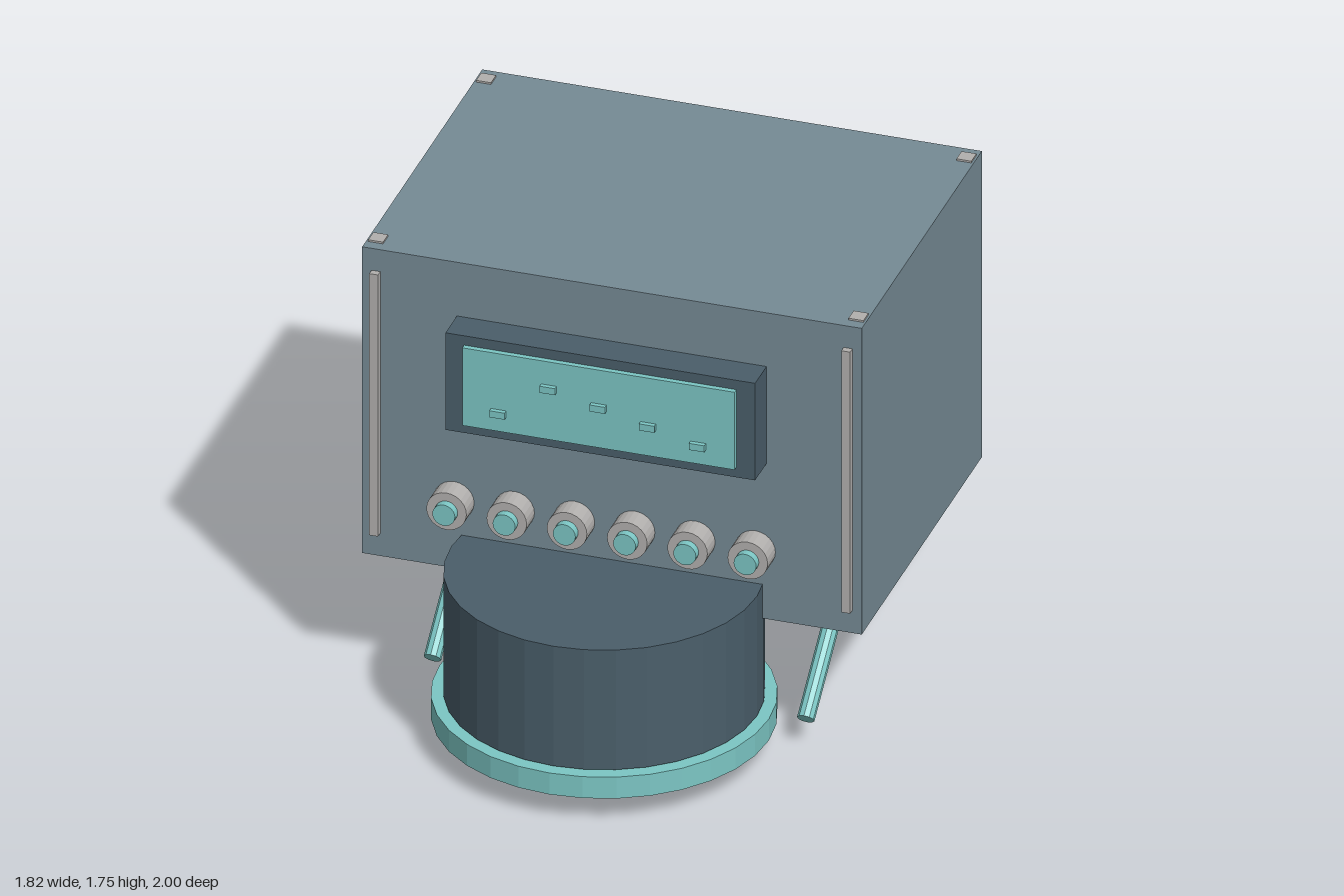
import * as THREE from 'three';

const mat = (name, color) => {
  const m = new THREE.MeshStandardMaterial({ color });
  m.name = name;
  return m;
};

export function createModel() {
  const model = new THREE.Group();
  model.name = 'controlUnit';
  const body = mat('slate grey', 0x768b95);
  const dark = mat('dark slate', 0x4a5e6a);
  const teal = mat('teal', 0x7cc6c4);
  const metal = mat('light grey', 0xb2b0ae);
  const glass = mat('lens blue', 0x7fa9bd);
  const tealSheet = mat('teal sheet', 0x7cc6c4);
  tealSheet.side = THREE.DoubleSide;
  for (const m of [body, dark, teal, metal, glass, tealSheet]) m.flatShading = true;

  const add = (name, geometry, material, x = 0, y = 0, z = 0) => {
    const mesh = new THREE.Mesh(geometry, material);
    mesh.name = name;
    mesh.position.set(x, y, z);
    model.add(mesh);
    return mesh;
  };
  // Box given by its lower and upper corners
  const block = (name, material, [x0, y0, z0], [x1, y1, z1]) =>
    add(name, new THREE.BoxGeometry(x1 - x0, y1 - y0, z1 - z0), material,
      (x0 + x1) / 2, (y0 + y1) / 2, (z0 + z1) / 2);
  // Upright cylinder from y0 to y1
  const disc = (name, material, r, y0, y1, z) =>
    add(name, new THREE.CylinderGeometry(r, r, y1 - y0, 32), material, 0, (y0 + y1) / 2, z);
  // Cylinder pointing forwards from z0 to z1
  const button = (name, material, r, x, y, z0, z1) => {
    const mesh = add(name, new THREE.CylinderGeometry(r, r, z1 - z0, 24), material, x, y, (z0 + z1) / 2);
    mesh.rotation.x = Math.PI / 2;
  };

  // Housing with trim strips and corner pads
  block('housing', body, [-0.91, 0.53, -1], [0.91, 1.745, 0.315]);
  for (const s of [-1, 1]) {
    const x = s * 0.86;
    block('trimStrip', metal, [x - 0.016, 0.62, 0.31], [x + 0.016, 1.658, 0.34]);
    for (const z of [-0.937, 0.245]) {
      block('cornerPad', metal, [s * 0.875 - 0.027, 1.74, z - 0.028], [s * 0.875 + 0.027, 1.752, z + 0.028]);
    }
  }

  // Display with small level markers
  block('displayFrame', dark, [-0.565, 1.147, 0.31], [0.563, 1.532, 0.44]);
  block('displayScreen', teal, [-0.497, 1.187, 0.43], [0.495, 1.495, 0.46]);
  const markers = [[-0.365, 1.26], [-0.182, 1.39], [0, 1.348], [0.18, 1.305], [0.362, 1.26]];
  for (const [x, y] of markers) {
    block('displayMarker', teal, [x - 0.028, y - 0.013, 0.45], [x + 0.028, y + 0.013, 0.477]);
  }

  // Row of knobs
  for (let i = 0; i < 6; i++) {
    const x = -0.575 + i * 0.2195;
    button('knobBase', metal, 0.073, x, 0.8, 0.31, 0.4);
    button('knobCap', teal, 0.041, x, 0.8, 0.39, 0.43);
  }

  // Drum, hollow rim open underneath, and the lower lens
  disc('drum', dark, 0.557, 0.19, 0.665, 0.4);
  const rimProfile = [[0.6, 0.1], [0.6, 0.185], [0.36, 0.185], [0.36, 0.1]]
    .map(([r, y]) => new THREE.Vector2(r, y));
  add('drumRim', new THREE.LatheGeometry(rimProfile, 32), tealSheet, 0, 0, 0.4);
  disc('lowerLens', glass, 0.367, 0, 0.076, 0.4);

  // Small lens and ring beneath the housing
  disc('rearLens', glass, 0.207, 0.467, 0.535, -0.352);
  const ring = add('rearLensRing', new THREE.TorusGeometry(0.312, 0.013, 8, 32), teal, 0, 0.533, -0.35);
  ring.rotation.x = Math.PI / 2;

  // Slanted rods
  const low = new THREE.Vector3(0, 0.112, 0.237);
  const high = new THREE.Vector3(0, 0.56, -0.3);
  const along = high.clone().sub(low);
  const middle = low.clone().add(high).multiplyScalar(0.5);
  for (const x of [-0.68, -0.34, 0, 0.34, 0.68]) {
    const rod = add('slantedRod', new THREE.CylinderGeometry(0.031, 0.031, along.length(), 10), teal, x, middle.y, middle.z);
    rod.quaternion.setFromUnitVectors(new THREE.Vector3(0, 1, 0), along.clone().normalize());
  }

  return model;
}
